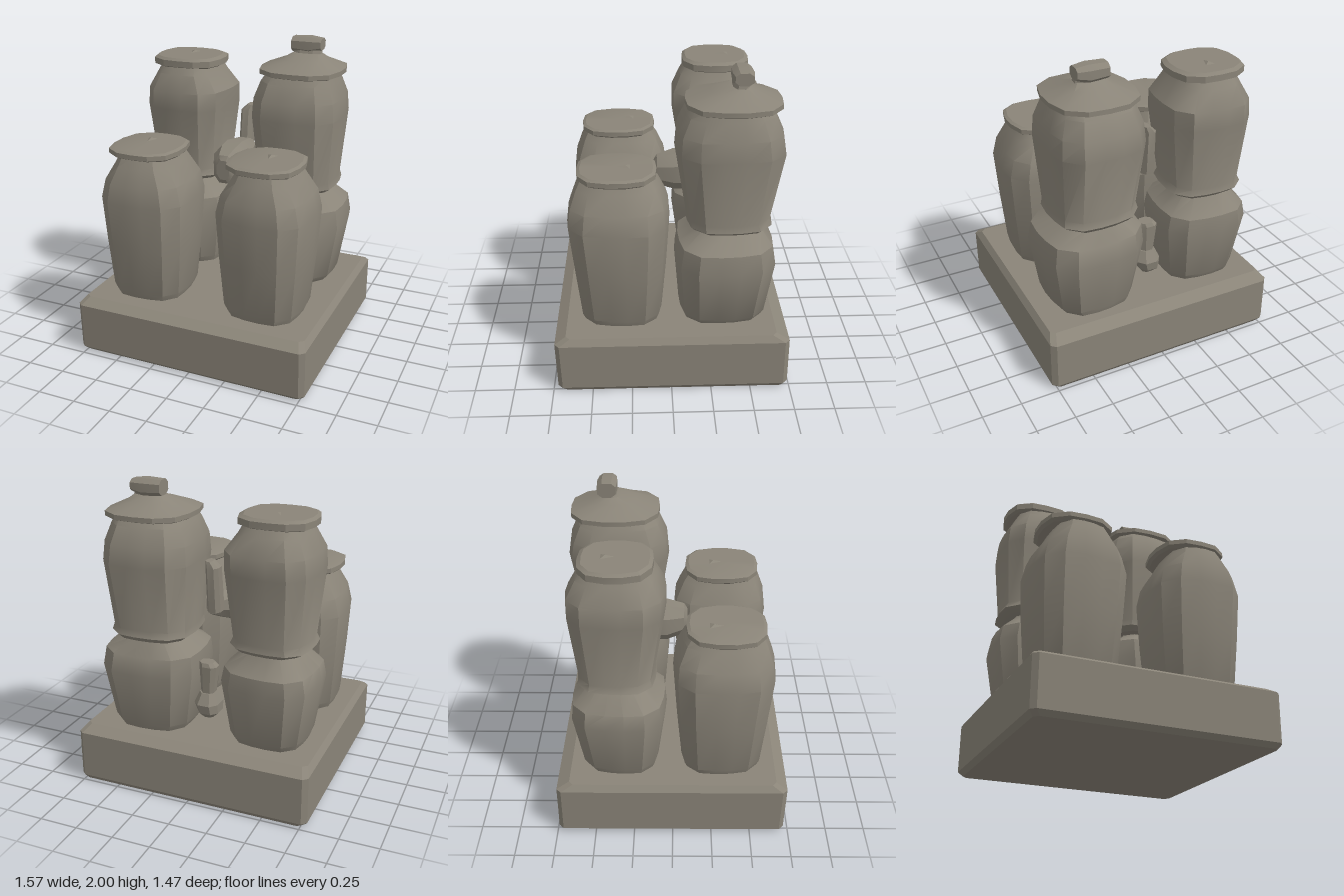
import * as THREE from 'three';
import { toCreasedNormals } from 'three/addons/utils/BufferGeometryUtils.js';

const stone = new THREE.MeshStandardMaterial({ color: 0x8a8478 });
stone.name = 'stone';

// Unit cross-sections: a rounded square, or a rectangle with clipped corners
function roundedSquare(sides, power, turn = 0) {
  return Array.from({ length: sides }, (_, i) => {
    const a = ((i + 0.5) / sides) * Math.PI * 2;
    const c = Math.cos(a), s = Math.sin(a);
    const r = Math.pow(Math.abs(c) ** power + Math.abs(s) ** power, -1 / power);
    const t = a + turn;
    return [r * Math.cos(t), r * Math.sin(t)];
  });
}
function clippedSquare(k) {
  return [[1, -k], [1, k], [k, 1], [-k, 1], [-1, k], [-1, -k], [-k, -1], [k, -1]];
}

// Closed loft; each row is [height, x0, x1, z0, z1]
function loft(rows, section, crease) {
  const n = section.length, pos = [], idx = [];
  const us = section.map(p => p[0]), vs = section.map(p => p[1]);
  const mu = Math.max(...us), mv = Math.max(...vs);
  for (const [y, x0, x1, z0, z1] of rows)
    for (const [u, v] of section)
      pos.push((x0 + x1) / 2 + (u / mu) * (x1 - x0) / 2, y, (z0 + z1) / 2 + (v / mv) * (z1 - z0) / 2);
  for (let j = 0; j < rows.length - 1; j++)
    for (let i = 0; i < n; i++) {
      const p = j * n + i, q = j * n + (i + 1) % n;
      idx.push(p, p + n, q, q, p + n, q + n);
    }
  [0, rows.length - 1].forEach((j, top) => {
    const [y, x0, x1, z0, z1] = rows[j], c = pos.length / 3;
    pos.push((x0 + x1) / 2, y, (z0 + z1) / 2);
    for (let i = 0; i < n; i++) {
      const p = j * n + i, q = j * n + (i + 1) % n;
      idx.push(c, ...(top ? [q, p] : [p, q]));
    }
  });
  const g = new THREE.BufferGeometry();
  g.setAttribute('position', new THREE.Float32BufferAttribute(pos, 3));
  g.setIndex(idx);
  return toCreasedNormals(g, crease);
}

export function createModel() {
  const model = new THREE.Group();
  const add = (name, geometry) => {
    const m = new THREE.Mesh(geometry, stone);
    m.name = name;
    model.add(m);
    return m;
  };
  const body = (name, rows, turn = 0) => add(name, loft(rows, roundedSquare(16, 3.4, turn), 0.6));
  const lid = (name, rows) => add(name, loft(rows, roundedSquare(14, 2.9), 0.4));

  // Bevelled slab
  add('base', loft([
    [0, -0.76, 0.76, -0.72, 0.69],
    [0.03, -0.79, 0.78, -0.74, 0.72],
    [0.34, -0.79, 0.78, -0.74, 0.73],
    [0.38, -0.76, 0.75, -0.66, 0.66],
  ], clippedSquare(0.96), 0.2));

  // Two tall front jars with flat lids
  for (const [side, dx] of [['right', 0], ['left', 0.805]]) {
    body(side + 'FrontJar', [
      [0.37, -0.65, -0.19, 0.07, 0.55],
      [0.42, -0.67, -0.17, 0.05, 0.57],
      [0.75, -0.695, -0.14, 0.02, 0.605],
      [1.05, -0.71, -0.12, 0.0, 0.635],
      [1.17, -0.68, -0.15, 0.01, 0.62],
      [1.28, -0.61, -0.22, 0.06, 0.58],
      [1.34, -0.58, -0.25, 0.1, 0.55],
    ], dx ? 0.05 : -0.05);
    lid(side + 'FrontLid', [
      [1.325, -0.64, -0.22, 0.11, 0.54],
      [1.34, -0.66, -0.2, 0.08, 0.57],
      [1.37, -0.66, -0.2, 0.08, 0.57],
      [1.38, -0.63, -0.22, 0.1, 0.55],
    ].map(([y, a, b, c, d]) => [y, a + dx, b + dx, c, d]));
    if (dx) model.getObjectByName('leftFrontJar').position.x = dx;
  }

  // Rear stack on the right, with a flat lid
  body('rightRearLowerJar', [
    [0.37, -0.65, -0.2, -0.55, -0.11],
    [0.42, -0.67, -0.18, -0.58, -0.09],
    [0.78, -0.73, -0.13, -0.64, -0.04],
    [0.88, -0.71, -0.15, -0.63, -0.05],
    [0.99, -0.6, -0.27, -0.53, -0.17],
    [1.03, -0.58, -0.28, -0.52, -0.18],
  ], 0.06);
  body('rightRearUpperJar', [
    [1.0, -0.64, -0.22, -0.56, -0.13],
    [1.03, -0.69, -0.18, -0.59, -0.1],
    [1.07, -0.67, -0.2, -0.58, -0.11],
    [1.5, -0.71, -0.15, -0.63, -0.04],
    [1.62, -0.7, -0.15, -0.63, -0.04],
    [1.73, -0.64, -0.23, -0.57, -0.09],
    [1.79, -0.61, -0.26, -0.53, -0.13],
  ], 0.06);
  lid('rightRearLid', [
    [1.77, -0.66, -0.23, -0.53, -0.13],
    [1.78, -0.68, -0.21, -0.555, -0.11],
    [1.82, -0.68, -0.21, -0.555, -0.11],
    [1.835, -0.66, -0.24, -0.53, -0.13],
  ]);

  // Rear stack on the left, with a sloping lid and knob
  body('leftRearLowerJar', [
    [0.37, 0.13, 0.6, -0.59, -0.08],
    [0.42, 0.1, 0.64, -0.61, -0.06],
    [0.78, 0.04, 0.7, -0.665, -0.03],
    [0.9, 0.05, 0.68, -0.645, -0.05],
    [0.99, 0.17, 0.55, -0.57, -0.18],
    [1.03, 0.18, 0.54, -0.56, -0.2],
  ], -0.06);
  body('leftRearUpperJar', [
    [1.0, 0.12, 0.58, -0.61, -0.13],
    [1.03, 0.08, 0.62, -0.635, -0.1],
    [1.07, 0.09, 0.61, -0.62, -0.1],
    [1.5, 0.05, 0.64, -0.7, -0.03],
    [1.62, 0.06, 0.63, -0.68, -0.04],
    [1.73, 0.1, 0.59, -0.63, -0.09],
    [1.79, 0.14, 0.57, -0.58, -0.13],
  ], -0.05);
  lid('leftRearLid', [
    [1.765, 0.1, 0.6, -0.64, -0.12],
    [1.775, 0.08, 0.62, -0.67, -0.09],
    [1.805, 0.08, 0.62, -0.67, -0.09],
    [1.86, 0.22, 0.5, -0.53, -0.24],
    [1.89, 0.27, 0.46, -0.47, -0.34],
  ]);
  const knobSection = clippedSquare(0.5);
  add('knobStem', loft([
    [1.84, 0.26, 0.47, -0.46, -0.35],
    [1.92, 0.28, 0.45, -0.46, -0.38],
  ], knobSection, 0.3));
  // Crosswise bar, lofted upright and laid along x
  const bar = loft([
    [-0.1, -0.05, 0.045, -0.06, 0.06],
    [0.02, -0.055, 0.055, -0.065, 0.065],
    [0.1, -0.045, 0.03, -0.055, 0.055],
  ], knobSection, 0.3);
  bar.rotateZ(-Math.PI / 2);
  add('knobBar', bar).position.set(0.36, 1.94, -0.43);

  // Small chips standing on the flat lids
  for (const [x, y, z] of [[-0.46, 1.38, 0.25], [0.38, 1.38, 0.27], [-0.45, 1.835, -0.39]]) {
    const chip = add('lidChip', toCreasedNormals(new THREE.ConeGeometry(0.06, 0.015, 3), 0.1));
    chip.scale.set(0.8, 1, 1.2);
    chip.position.set(x, y + 0.004, z);
  }

  // Ladle between the jars: bowl lying along z, rows read [z, x0, x1, -y1, -y0]
  const bowl = loft([
    [-0.36, -0.07, 0.02, -1.27, -1.15],
    [-0.3, -0.11, 0.04, -1.29, -1.12],
    [-0.14, -0.16, 0.075, -1.31, -1.05],
    [-0.04, -0.15, 0.07, -1.3, -1.05],
    [0.07, -0.1, 0.04, -1.27, -1.08],
    [0.09, -0.07, 0.02, -1.24, -1.11],
  ], clippedSquare(0.45), 0.5);
  bowl.rotateX(Math.PI / 2);
  add('ladleBowl', bowl);
  add('ladleHandle', loft([
    [1.18, -0.09, 0.0, -0.42, -0.3],
    [1.47, -0.085, 0.0, -0.44, -0.33],
    [1.51, -0.045, 0.0, -0.43, -0.35],
  ], clippedSquare(0.5), 0.4));

  // Small scoop hanging lower down
  add('scoopBowl', loft([
    [0.48, -0.06, 0.01, -0.47, -0.39],
    [0.52, -0.1, 0.04, -0.51, -0.34],
    [0.58, -0.1, 0.06, -0.52, -0.33],
    [0.65, -0.07, 0.03, -0.48, -0.37],
  ], clippedSquare(0.5), 0.4));
  add('scoopHandle', loft([
    [0.6, -0.06, 0.02, -0.47, -0.38],
    [0.83, -0.085, 0.03, -0.48, -0.38],
    [0.855, -0.06, 0.03, -0.47, -0.39],
  ], clippedSquare(0.5), 0.4));

  return model;
}
